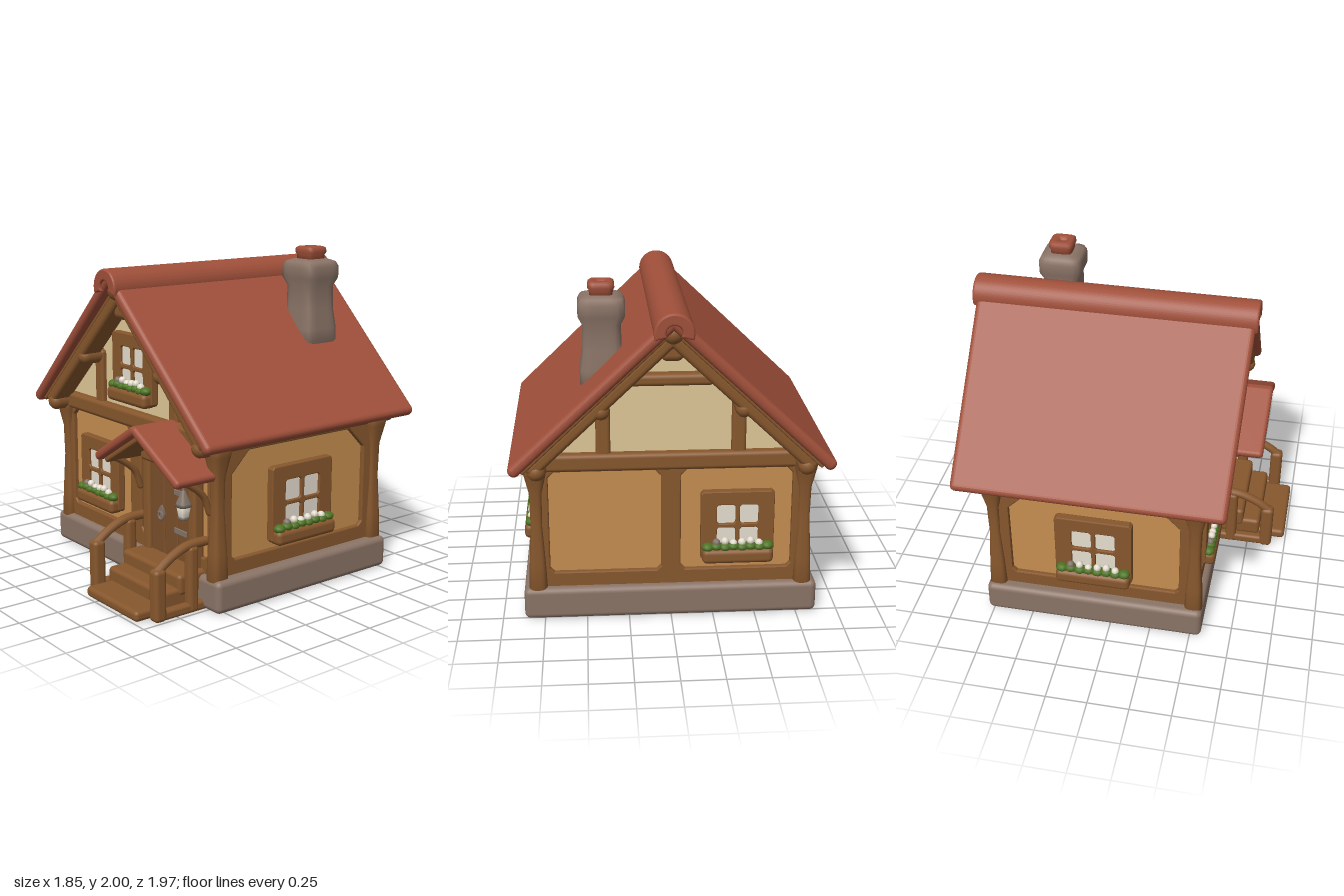
import * as THREE from 'three';
import { RoundedBoxGeometry } from 'three/addons/geometries/RoundedBoxGeometry.js';
import { mergeVertices } from 'three/addons/utils/BufferGeometryUtils.js';

const mat = (name, color) => Object.assign(new THREE.MeshStandardMaterial({ color }), { name });
const M = {
  roof: mat('roof red', 0xa0503a), timber: mat('timber brown', 0x87572d), door: mat('door brown', 0x7c4f2a),
  plaster: mat('tan plaster', 0xc68e50), cream: mat('cream plaster', 0xe0c898), stone: mat('stone', 0x8b7467),
  glass: mat('window white', 0xe6dfd0), leaf: mat('leaf green', 0x4d7322), metal: mat('metal grey', 0x837469),
};

function add(parent, name, geo, material, x = 0, y = 0, z = 0) {
  const m = new THREE.Mesh(geo, material);
  m.name = name;
  m.position.set(x, y, z);
  parent.add(m);
  return m;
}

function group(parent, name, x = 0, y = 0, z = 0, ry = 0) {
  const g = new THREE.Group();
  g.name = name;
  g.position.set(x, y, z);
  g.rotation.y = ry;
  parent.add(g);
  return g;
}

// Soft-edged block given by its extents
function block(parent, name, material, [x0, x1], [y0, y1], [z0, z1], r = 0.015) {
  const geo = new RoundedBoxGeometry(x1 - x0, y1 - y0, z1 - z0, 3, r);
  return add(parent, name, geo, material, (x0 + x1) / 2, (y0 + y1) / 2, (z0 + z1) / 2);
}

// Upright turned form with a rounded-square section; profile is [halfWidth, y] from bottom to top
function squareTurned(profile, power = 5) {
  let geo = new THREE.LatheGeometry(profile.map(([r, y]) => new THREE.Vector2(r, y)), 32);
  const p = geo.attributes.position;
  for (let i = 0; i < p.count; i++) {
    const x = p.getX(i), z = p.getZ(i), r = Math.hypot(x, z);
    if (r < 1e-6) continue;
    const k = Math.pow(Math.abs(x / r) ** power + Math.abs(z / r) ** power, -1 / power);
    p.setX(i, x * k);
    p.setZ(i, z * k);
  }
  geo.deleteAttribute('uv');
  geo.deleteAttribute('normal');
  geo = mergeVertices(geo);
  geo.computeVertexNormals();
  return geo;
}

function tube(parent, name, material, pts, r) {
  const curve = new THREE.CatmullRomCurve3(pts.map(p => new THREE.Vector3(...p)));
  add(parent, name, new THREE.TubeGeometry(curve, 16, r, 10), material);
  for (const p of [pts[0], pts.at(-1)]) add(parent, name + 'End', new THREE.SphereGeometry(r, 10, 8), material, ...p);
}

// Closed outline with cut corners: c at the top, b at the bottom
function outline(Type, x0, x1, y0, y1, c = 0, b = 0) {
  return new Type([[x0 + b, y0], [x1 - b, y0], [x1, y0 + b], [x1, y1 - c], [x1 - c, y1], [x0 + c, y1], [x0, y1 - c],
    [x0, y0 + b]].map(([x, y]) => new THREE.Vector2(x, y)));
}

function cutout(shape, holes, depth, bevel = 0.008) {
  shape.holes = holes;
  return new THREE.ExtrudeGeometry(shape, { depth: depth - bevel, bevelSize: bevel, bevelThickness: bevel, bevelSegments: 2 });
}

// A mirrored pair of sloping boards lying `drop` beneath the roof line
function slopedPair(parent, name, material, o) {
  const { cx = 0, apex, run, rise, from = 0, to = 1, drop = 0, t, z, taper = 0, r = 0.02 } = o;
  const a = Math.atan2(rise, run), len = Math.hypot(run, rise) * (to - from);
  for (const s of [-1, 1]) {
    const geo = new RoundedBoxGeometry(len, t, z[1] - z[0], 3, r);
    const p = geo.attributes.position;
    for (let i = 0; i < p.count; i++) p.setZ(i, p.getZ(i) * (1 - taper * (p.getX(i) * s / len + 0.5)));
    geo.computeVertexNormals();
    const k = (from + to) / 2, d = drop + t / 2;
    const m = add(parent, name, geo, material, cx + s * (run * k - Math.sin(a) * d),
      apex - rise * k - Math.cos(a) * d, (z[0] + z[1]) / 2);
    m.rotation.z = -s * a;
  }
}

// Framed four-pane window with a planted box, facing +z
function addWindow(parent, x, y, z, w = 0.42, h = 0.42) {
  const g = group(parent, 'window', x, y, z);
  const pw = w * 0.29, ph = h * 0.31, m = 0.013, holes = [];
  for (const [x0, x1] of [[-pw, -m], [m, pw]])
    for (const [y0, y1] of [[-ph, -m], [m, ph]]) holes.push(outline(THREE.Path, x0 - 0.006, x1 + 0.006, y0 - 0.006, y1 + 0.006, 0.015, 0.015));
  add(g, 'windowFrame', cutout(outline(THREE.Shape, -w / 2, w / 2, -h / 2, h / 2, 0.012, 0.012), holes, 0.045, 0.006), M.timber);
  add(g, 'windowPanes', new THREE.BoxGeometry(pw * 2.1, ph * 2.1, 0.008), M.glass, 0, 0, 0.025);
  block(g, 'flowerBox', M.timber, [-w / 2, w / 2], [-h / 2 - 0.015, -h / 2 + 0.075], [0, 0.1], 0.03);
  for (let i = 0; i < 8; i++) {
    const u = (i / 7 - 0.5) * w * 0.84;
    const leaf = add(g, 'leaves', new THREE.SphereGeometry(0.034, 10, 8), M.leaf, u, -h / 2 + 0.082 + 0.006 * (i % 2), 0.058);
    leaf.scale.set(1.1, 0.8, 1.1);
    if (i % 7) add(g, 'flower', new THREE.SphereGeometry(0.024, 8, 6), i === 1 ? M.metal : M.glass, u, -h / 2 + 0.105 + 0.007 * (i % 3), 0.06);
  }
}

// Timber frame with panel openings laid on one wall
function addWall(parent, name, x, z, ry, half, panels, top) {
  const g = group(parent, name, x, 0, z, ry);
  const holes = panels.map(([a, b]) => outline(THREE.Path, a, b, 0.28, 0.93, top, 0.03));
  add(g, 'timberFrame', cutout(outline(THREE.Shape, -half, half, 0.17, 1.0), holes, 0.028), M.timber);
  return g;
}

export function createModel() {
  const house = new THREE.Group();
  house.name = 'cottage';
  const zc = -0.105, zf = 0.5, zb = -0.71;

  // Foundation and walls
  block(house, 'foundation', M.stone, [-0.87, 0.87], [0.004, 0.2], [-0.785, 0.57], 0.035);
  add(house, 'floorUnderside', new THREE.BoxGeometry(1.5, 0.008, 1.12), M.timber, 0, 0.004, zc);
  add(house, 'wallCore', new THREE.BoxGeometry(1.55, 0.85, zf - zb), M.plaster, 0, 0.575, zc);
  const gable = new THREE.Shape([[-0.79, 0.99], [0.79, 0.99], [0.79, 1.02], [0, 1.77], [-0.79, 1.02]].map(p => new THREE.Vector2(...p)));
  add(house, 'gableWalls', new THREE.ExtrudeGeometry(gable, { depth: zf - zb, bevelEnabled: false }), M.cream, 0, 0, zb);
  const front = addWall(house, 'frontWall', 0, zf, 0, 0.79, [[-0.72, -0.05], [0.05, 0.72]], 0.04);
  const back = addWall(house, 'backWall', 0, zb, Math.PI, 0.79, [[-0.72, -0.05], [0.05, 0.72]], 0.04);
  addWindow(front, -0.375, 0.57, 0.005);
  addWindow(front, 0, 1.3, 0.005, 0.4, 0.4);
  addWindow(back, 0.39, 0.57, 0.005);
  for (const s of [-1, 1]) {
    const side = addWall(house, 'sideWall', s * 0.775, zc, s * Math.PI / 2, 0.62, [[-0.53, 0.53]], 0.13);
    addWindow(side, 0, 0.56, 0.005, 0.46, 0.45);
    for (const z of [zf + 0.01, zb - 0.01])
      add(house, 'cornerPost', squareTurned([[0, 0.17], [0.055, 0.18], [0.048, 0.35], [0.034, 0.6], [0.038, 0.8], [0.065, 0.92],
        [0.075, 0.97], [0.05, 1.02], [0, 1.03]], 3.5), M.timber, s * 0.785, 0, z);
    // Roof bearers running the length of the house
    for (const [x, y, r] of [[0.77, 0.975, 0.055], [0.4, 1.325, 0.05]]) {
      const b = add(house, 'roofBearer', new THREE.CapsuleGeometry(r, 1.46, 5, 12), M.timber, s * x, y, -0.115);
      b.rotation.x = Math.PI / 2;
    }
  }

  // Gable timbers at both ends
  for (const g of [front, back]) {
    block(g, 'crossBeam', M.timber, [-0.8, 0.8], [0.93, 1.035], [-0.02, 0.055], 0.025);
    for (const s of [-1, 1]) block(g, 'gablePost', M.timber, [s * 0.39 - 0.042, s * 0.39 + 0.042], [1.0, 1.36], [-0.02, 0.035], 0.02);
    block(g, 'kingBlock', M.timber, [-0.065, 0.065], [1.6, 1.77], [-0.02, 0.14], 0.04);
  }
  block(back, 'collarBeam', M.timber, [-0.24, 0.24], [1.44, 1.51], [-0.02, 0.07], 0.025);

  // Main roof
  const line = { apex: 1.9, run: 0.94, rise: 0.893 };
  slopedPair(house, 'roofSlope', M.roof, { ...line, t: 0.07, z: [-0.965, 0.725], taper: 0.035, r: 0.032 });
  slopedPair(house, 'roofLining', M.timber, { ...line, to: 0.965, drop: 0.06, t: 0.03, z: [-0.9, 0.66], r: 0.01 });
  for (const z of [[0.52, 0.66], [-0.89, -0.73]])
    slopedPair(house, 'bargeboard', M.timber, { ...line, from: 0.04, to: 0.95, drop: 0.07, t: 0.085, z, r: 0.03 });
  const arch = new THREE.Shape();
  arch.absarc(0, 0, 0.1, -0.25, Math.PI + 0.25, false);
  arch.absarc(0, 0, 0.055, Math.PI + 0.25, -0.25, true);
  add(house, 'ridgeCap', new THREE.ExtrudeGeometry(arch, { depth: 1.69, bevelSize: 0.012, bevelThickness: 0.015, bevelSegments: 3, curveSegments: 20 }),
    M.roof, 0, 1.798, -0.967);
  const ridge = add(house, 'ridgeBeam', new THREE.CapsuleGeometry(0.06, 1.52, 5, 14), M.timber, 0, 1.775, -0.12);
  ridge.rotation.x = Math.PI / 2;

  // Chimney
  const ch = group(house, 'chimney', 0.385, 0, -0.54);
  add(ch, 'chimneyStack', squareTurned([[0, 1.35], [0.13, 1.35], [0.128, 1.5], [0.112, 1.62], [0.11, 1.76], [0.134, 1.81],
    [0.135, 1.88], [0.12, 1.91], [0.08, 1.925], [0, 1.925]], 7), M.stone);
  add(ch, 'chimneyPot', squareTurned([[0, 1.9], [0.064, 1.9], [0.068, 1.95], [0.076, 1.965], [0.074, 1.99], [0.06, 2.0], [0.03, 2.0],
    [0.025, 1.98], [0, 1.98]], 6), M.roof);

  // Door with frame, planks and ironwork
  const cx = 0.395;
  const door = group(house, 'door', cx, 0, 0.5);
  for (const i of [-1, 0, 1]) block(door, 'doorPlank', M.door, [i * 0.13 - 0.066, i * 0.13 + 0.066], [0.2, 0.79], [0, 0.05], 0.01);
  for (const s of [-1, 1]) {
    block(door, 'doorPost', M.timber, [s * 0.225 - 0.035, s * 0.225 + 0.035], [0.18, 0.82], [0, 0.075], 0.02);
    block(door, 'corbel', M.timber, [s * 0.1 - 0.03, s * 0.1 + 0.03], [0.83, 0.89], [0, 0.09], 0.02);
  }
  block(door, 'doorLintel', M.timber, [-0.27, 0.27], [0.77, 0.85], [0, 0.085], 0.025);
  for (const y of [0.4, 0.635]) block(door, 'hinge', M.metal, [0.04, 0.16], [y - 0.018, y + 0.018], [0.049, 0.058], 0.004);
  const plate = add(door, 'handlePlate', new THREE.CylinderGeometry(0.035, 0.035, 0.012, 4), M.metal, -0.085, 0.475, 0.055);
  plate.rotation.x = Math.PI / 2;
  plate.scale.z = 1.4;
  add(door, 'handleRing', new THREE.TorusGeometry(0.022, 0.007, 6, 14), M.metal, -0.08, 0.46, 0.066);

  // Porch roof with braces
  const porch = { cx, apex: 1.065, run: 0.425, rise: 0.25 };
  slopedPair(house, 'porchRoof', M.roof, { ...porch, t: 0.055, z: [0.47, 0.825], taper: 0.06, r: 0.025 });
  slopedPair(house, 'porchBoard', M.timber, { ...porch, to: 0.93, drop: 0.045, t: 0.04, z: [0.5, 0.775], r: 0.015 });
  for (const s of [-1, 1]) {
    const x = cx + s * 0.34;
    tube(house, 'porchBrace', M.timber, [[x, 0.58, 0.53], [x, 0.68, 0.57], [x, 0.75, 0.65], [x, 0.8, 0.74]], 0.02);
  }

  // Hanging lantern
  const lamp = group(house, 'lantern', 0.72, 0, 0.7);
  tube(lamp, 'lanternHook', M.metal, [[0, 0.72, 0], [0, 0.8, 0]], 0.008);
  add(lamp, 'lanternCap', squareTurned([[0, 0.645], [0.042, 0.645], [0.038, 0.665], [0.018, 0.715], [0.008, 0.74], [0, 0.74]], 3), M.metal);
  add(lamp, 'lanternGlass', squareTurned([[0, 0.58], [0.024, 0.58], [0.035, 0.65], [0, 0.65]], 4), M.glass);
  add(lamp, 'lanternBase', squareTurned([[0, 0.565], [0.022, 0.567], [0.03, 0.58], [0.022, 0.59], [0, 0.59]], 3), M.metal);

  // Steps and handrails
  block(house, 'lowerStep', M.timber, [0.14, 0.66], [0, 0.065], [0.6, 0.99], 0.025);
  block(house, 'middleStep', M.timber, [0.12, 0.68], [0.03, 0.145], [0.55, 0.82], 0.025);
  block(house, 'upperStep', M.timber, [0.11, 0.69], [0.1, 0.225], [0.5, 0.71], 0.025);
  for (const s of [-1, 1]) {
    const x = cx + s * 0.31;
    block(house, 'railPost', M.timber, [x - 0.04, x + 0.04], [0, 0.31], [0.83, 0.91], 0.025);
    block(house, 'innerPost', M.timber, [x - 0.035, x + 0.035], [0, 0.4], [0.6, 0.67], 0.025);
    block(house, 'stringer', M.timber, [x - 0.03, x + 0.03], [0, 0.06], [0.53, 0.9], 0.02);
    tube(house, 'handrail', M.timber, [[x, 0.29, 0.875], [x, 0.345, 0.8], [x, 0.395, 0.69], [x, 0.405, 0.62], [x, 0.405, 0.54]], 0.028);
  }
  return house;
}
